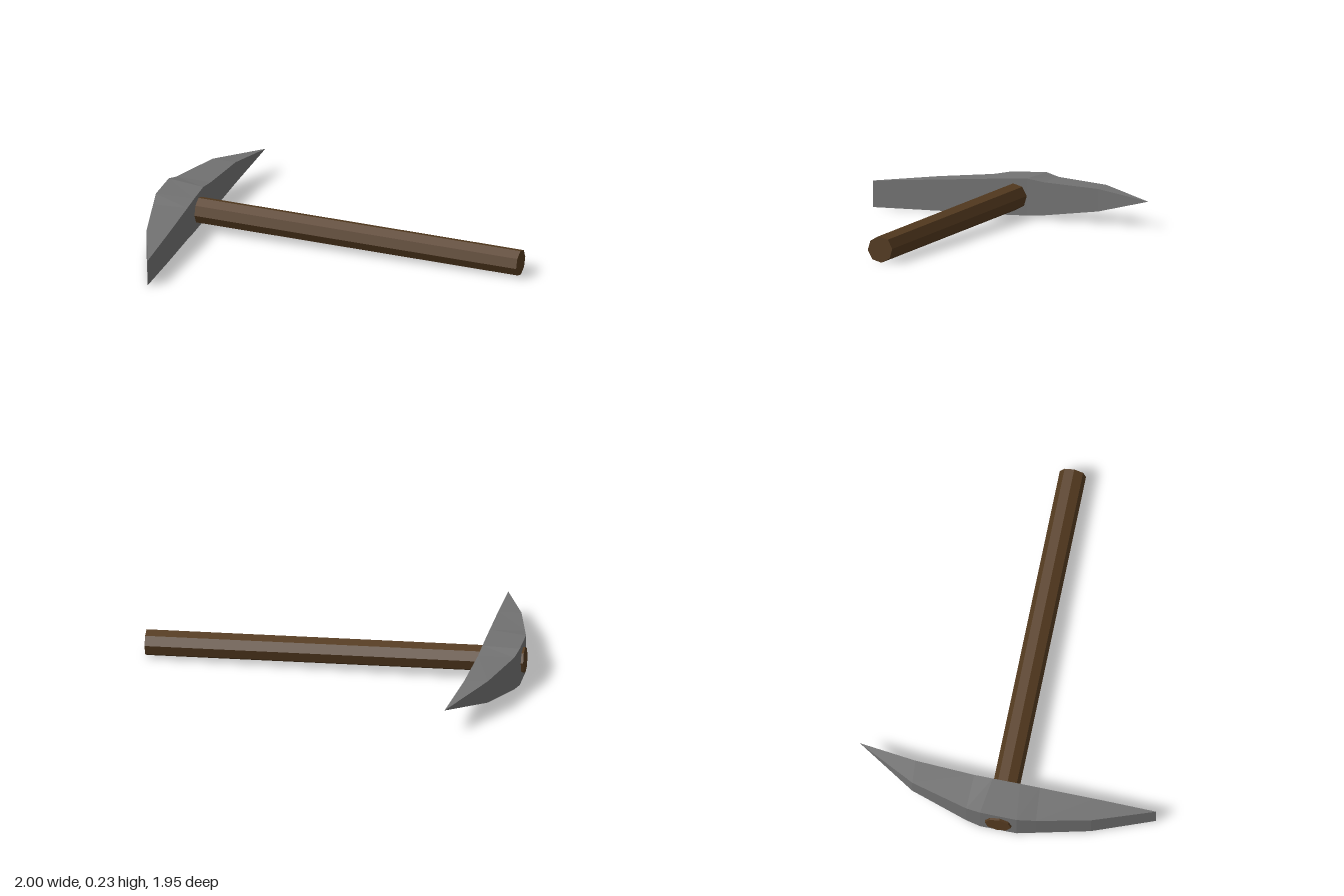
import * as THREE from 'three';

// Closed faceted skin over four-cornered cross-sections
function loftSections(sections) {
  const pos = [];
  for (let i = 0; i < sections.length - 1; i++) {
    for (let j = 0; j < 4; j++) {
      const k = (j + 1) % 4;
      const a = sections[i][j], b = sections[i + 1][j];
      const c = sections[i + 1][k], d = sections[i][k];
      pos.push(...a, ...b, ...c, ...a, ...c, ...d);
    }
  }
  const geo = new THREE.BufferGeometry();
  geo.setAttribute('position', new THREE.Float32BufferAttribute(pos, 3));
  geo.computeVertexNormals();
  return geo;
}

export function createModel() {
  const model = new THREE.Group();
  model.name = 'pickaxe';
  const iron = new THREE.MeshStandardMaterial({ color: 0x727272, flatShading: true });
  const wood = new THREE.MeshStandardMaterial({ color: 0x553b20, flatShading: true });

  // Head: outer [x, z, top, bottom] and inner [x, z, top, bottom], spike to chisel
  const rows = [
    [[0.275, -0.978, 0.15, 0.15], [0.275, -0.978, 0.15, 0.15]],
    [[-0.10, -0.88, 0.20, 0.07], [0.0, -0.79, 0.195, 0.068]],
    [[-0.40, -0.72, 0.212, 0.02], [-0.26, -0.57, 0.21, 0.023]],
    [[-0.47, -0.675, 0.232, 0.012], [-0.34, -0.50, 0.224, 0.015]],
    [[-0.62, -0.53, 0.225, 0.01], [-0.45, -0.39, 0.216, 0.012]],
    [[-0.68, -0.44, 0.207, 0.015], [-0.53, -0.31, 0.207, 0.015]],
    [[-0.845, -0.18, 0.187, 0.012], [-0.75, -0.09, 0.185, 0.012]],
    [[-1.0, 0.155, 0.16, 0.01], [-1.0, 0.155, 0.16, 0.01]],
  ];
  const sections = rows.map(([o, n]) => [
    [o[0], o[2], o[1]], [n[0], n[2], n[1]],
    [n[0], n[3], n[1]], [o[0], o[3], o[1]],
  ]);
  const head = new THREE.Mesh(loftSections(sections), iron);
  head.name = 'head';
  model.add(head);

  // Handle: eight-sided shaft running through the head
  const back = new THREE.Vector3(-0.555, 0.122, -0.612);
  const front = new THREE.Vector3(0.942, 0.08, 0.922);
  const axis = front.clone().sub(back);
  const shaft = new THREE.CylinderGeometry(0.075, 0.075, axis.length(), 8);
  shaft.rotateY(0.1);
  axis.normalize();
  const side = new THREE.Vector3().crossVectors(axis, new THREE.Vector3(0, 1, 0)).normalize();
  const up = new THREE.Vector3().crossVectors(side, axis);
  const handle = new THREE.Mesh(shaft, wood);
  handle.name = 'handle';
  handle.quaternion.setFromRotationMatrix(new THREE.Matrix4().makeBasis(side, axis, up));
  handle.position.copy(back).add(front).multiplyScalar(0.5);
  model.add(handle);

  return model;
}
